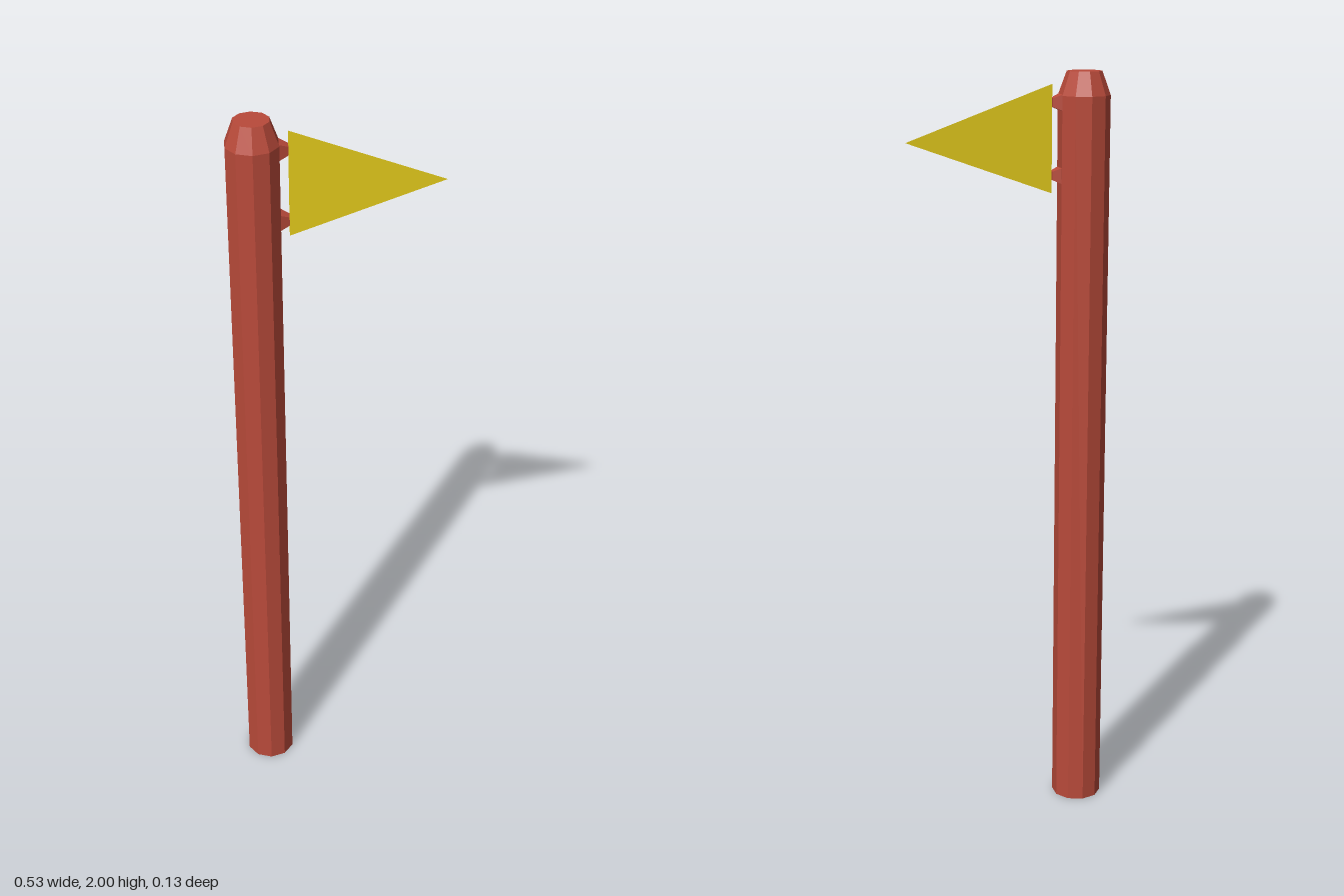
import * as THREE from 'three';

export function createModel() {
  const model = new THREE.Group();
  const red = new THREE.MeshStandardMaterial({ color: 0xb94a3a, flatShading: true });
  const yellow = new THREE.MeshStandardMaterial({ color: 0xe0c81a, side: THREE.DoubleSide });
  const poleX = -0.2, radius = 0.067, capBase = 1.94;

  const add = (name, geometry, material, x, y, z = 0) => {
    const mesh = new THREE.Mesh(geometry, material);
    mesh.name = name;
    mesh.position.set(x, y, z);
    model.add(mesh);
    return mesh;
  };

  // Ten-sided pole with a tapered top, closed at both ends
  const profile = [[0, 0], [radius, 0], [radius, capBase], [0.045, 2], [0, 2]];
  add('pole', new THREE.LatheGeometry(profile.map(p => new THREE.Vector2(...p)), 10), red, poleX, 0);

  // Square tapered pegs joining the flag to the pole
  const pegGeometry = new THREE.CylinderGeometry(0.011 * Math.SQRT2, 0.021 * Math.SQRT2, 0.024, 4);
  pegGeometry.rotateY(Math.PI / 4).rotateZ(-Math.PI / 2);
  for (const [name, y] of [['upperPeg', 1.923], ['lowerPeg', 1.74]]) {
    add(name, pegGeometry, red, -0.127, y);
  }

  // Thin triangular pennant
  const pennant = new THREE.Shape([
    new THREE.Vector2(0, -0.137),
    new THREE.Vector2(0.379, 0),
    new THREE.Vector2(0, 0.137),
  ]);
  add('flag', new THREE.ShapeGeometry(pennant), yellow, -0.115, 1.832, -0.002);

  return model;
}
